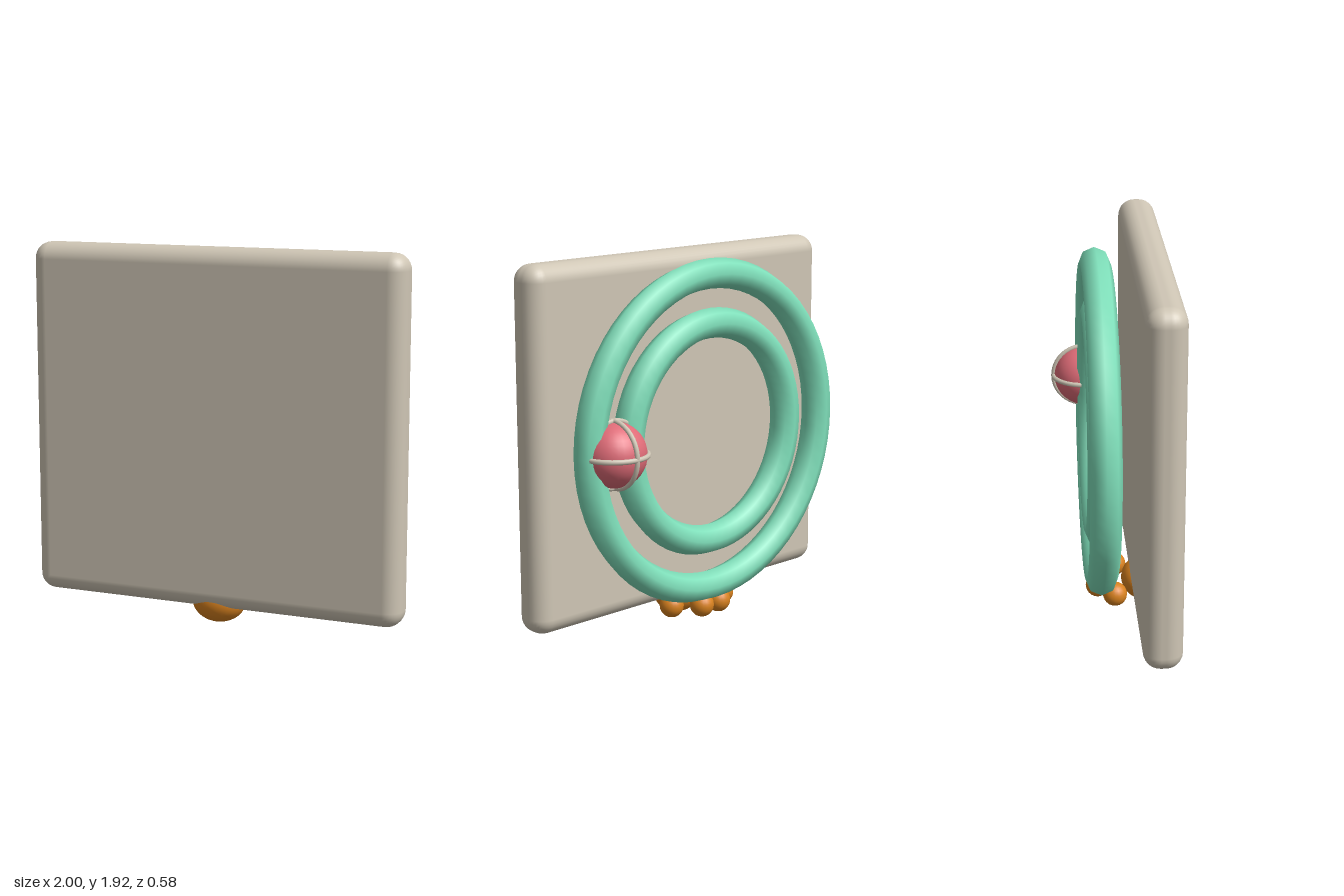
import * as THREE from 'three';
import { RoundedBoxGeometry } from 'three/addons/geometries/RoundedBoxGeometry.js';

const material = (name, color) => {
  const m = new THREE.MeshStandardMaterial({ color });
  m.name = name;
  return m;
};

export function createModel() {
  const stone = material('warm grey', 0xcfc6b5);
  const mint = material('mint green', 0x7fdfba);
  const coral = material('coral pink', 0xe06c78);
  const orange = material('orange', 0xd9821f);

  const model = new THREE.Group();
  const add = (name, geometry, mat, x, y, z, parent = model) => {
    const mesh = new THREE.Mesh(geometry, mat);
    mesh.name = name;
    mesh.position.set(x, y, z);
    parent.add(mesh);
    return mesh;
  };
  const midY = 1.005;

  // Square slab with rounded edges
  add('slab', new RoundedBoxGeometry(2, 1.83, 0.195, 4, 0.085), stone, 0, midY, 0.188);

  // Two concentric rings behind the slab
  add('outerRing', new THREE.TorusGeometry(0.81, 0.077, 8, 64), mint, 0, midY, -0.077);
  add('innerRing', new THREE.TorusGeometry(0.56, 0.077, 8, 64), mint, 0, midY, -0.077);

  // Ball caged by three thin hoops, bridging the rings
  const ball = new THREE.Group();
  ball.name = 'cagedBall';
  ball.position.set(0.685, midY, -0.112);
  model.add(ball);
  add('ball', new THREE.SphereGeometry(0.162, 32, 20), coral, 0, 0, 0, ball);
  const hoop = new THREE.TorusGeometry(0.166, 0.013, 8, 40);
  [[0, 0], [Math.PI / 2, 0], [0, Math.PI / 2]].forEach(([rx, ry]) => {
    add('hoop', hoop, stone, 0, 0, 0, ball).rotation.set(rx, ry, 0);
  });

  // Paw at the base: one wide pad and four toes
  const paw = new THREE.Group();
  paw.name = 'paw';
  model.add(paw);
  add('pad', new THREE.SphereGeometry(1, 28, 18), orange, 0, 0.107, 0.16, paw)
    .scale.set(0.14, 0.107, 0.112);
  const toe = new THREE.SphereGeometry(0.063, 20, 14);
  [[-0.17, 0.005], [-0.06, -0.08], [0.06, -0.08], [0.18, 0.02]].forEach(([x, z]) => {
    add('toe', toe, orange, x, 0.1, z, paw);
  });

  return model;
}
